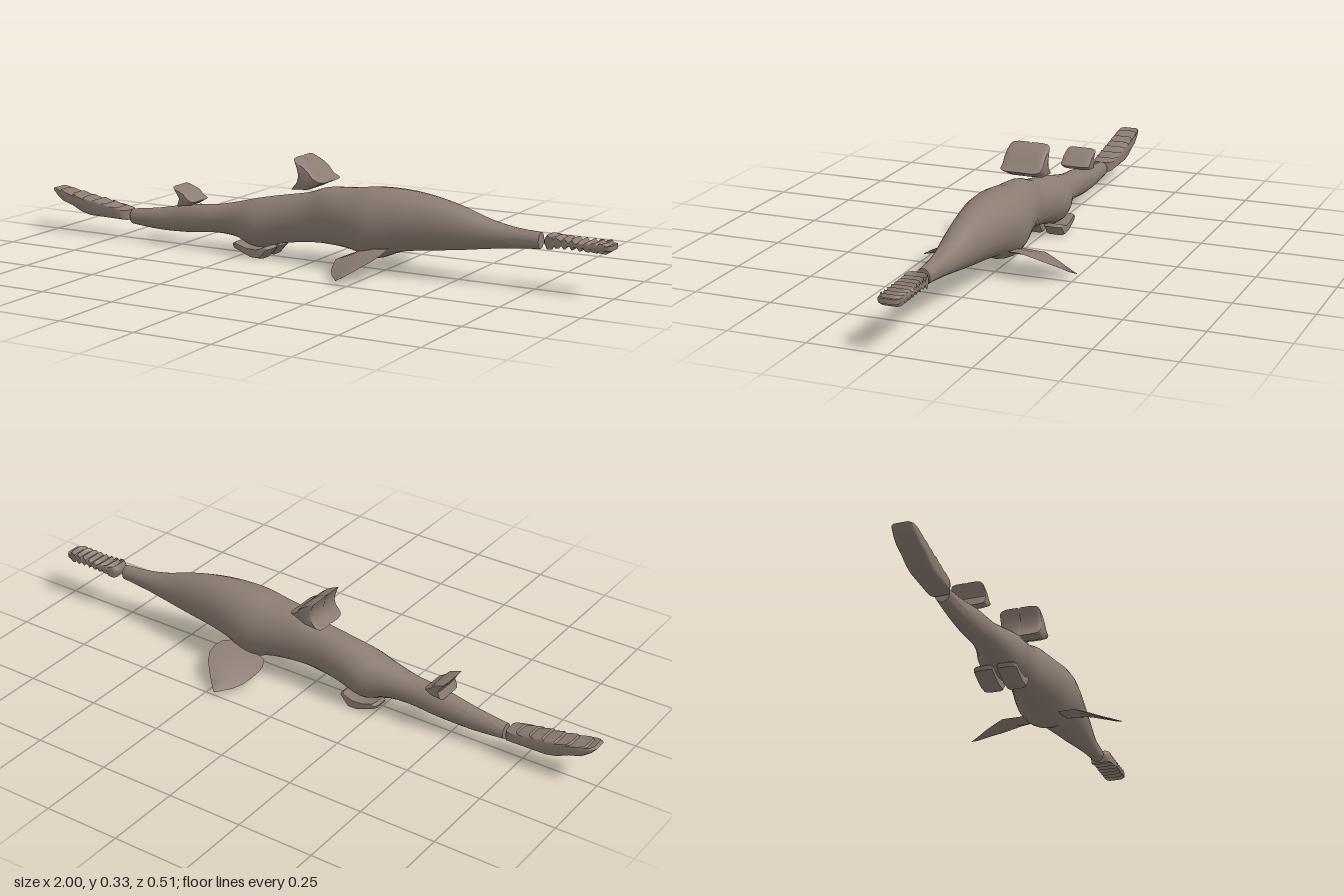
import * as THREE from 'three';
import { toCreasedNormals } from 'three/addons/utils/BufferGeometryUtils.js';

const skin = new THREE.MeshStandardMaterial({ color: 0x8b7c72 });
skin.name = 'grey brown skin';

// Joins rings of points (counter-clockwise seen from the last ring) and closes both ends
function loft(rings, capFaces) {
  const n = rings[0].length, last = (rings.length - 1) * n, index = [];
  for (let k = 0; k < rings.length - 1; k++) {
    for (let i = 0; i < n; i++) {
      const j = (i + 1) % n, a = k * n, b = a + n;
      index.push(a + i, a + j, b + j, a + i, b + j, b + i);
    }
  }
  if (!capFaces) {
    capFaces = [];
    for (let i = 1; i < n - 1; i++) capFaces.push([0, i, i + 1]);
  }
  for (const [a, b, c] of capFaces) index.push(c, b, a, last + a, last + b, last + c);
  const geometry = new THREE.BufferGeometry();
  geometry.setAttribute('position', new THREE.Float32BufferAttribute(rings.flat(2), 3));
  geometry.setIndex(index);
  return toCreasedNormals(geometry, 0.75);
}

// Side profile carried across z, scaled about its middle at each [z, scale] step
function slab(profile, steps) {
  const points = profile.map(([x, y]) => new THREE.Vector2(x, y));
  const mid = new THREE.Box2().setFromPoints(points).getCenter(new THREE.Vector2());
  const rings = steps.map(([z, s]) =>
    points.map((p) => [mid.x + (p.x - mid.x) * s, mid.y + (p.y - mid.y) * s, z]));
  return loft(rings, THREE.ShapeUtils.triangulateShape(points, []));
}

// Rounded edges; a groove below 1 notches the centre line
function acrossSteps(w, groove = 1) {
  const half = [[w * 0.06, 1], [w * 0.6, 1], [w * 0.85, 0.95], [w * 0.96, 0.86], [w, 0.75]];
  return [...half.map(([z, s]) => [-z, s]).reverse(), [0, groove], ...half];
}

// Body sections: x, top, bottom, half width
const bodySections = [
  [-0.69, 0.1, 0.05, 0.023], [-0.58, 0.115, 0.042, 0.03], [-0.46, 0.138, 0.045, 0.038],
  [-0.36, 0.148, 0.055, 0.043], [-0.28, 0.165, 0.05, 0.055], [-0.2, 0.185, 0.025, 0.074],
  [-0.11, 0.203, 0.047, 0.066], [-0.02, 0.22, 0.06, 0.061], [0.05, 0.243, 0.063, 0.07],
  [0.14, 0.25, 0.056, 0.088], [0.22, 0.26, 0.035, 0.1], [0.31, 0.261, 0.066, 0.088],
  [0.4, 0.252, 0.08, 0.072], [0.5, 0.23, 0.092, 0.056], [0.6, 0.198, 0.107, 0.04],
  [0.68, 0.182, 0.117, 0.028], [0.767, 0.175, 0.125, 0.022],
];

function bodyGeometry() {
  const [top, bottom, width] = [1, 2, 3].map((c) =>
    new THREE.SplineCurve(bodySections.map((s) => new THREE.Vector2(s[0], s[c]))));
  const rings = [];
  for (let k = 0; k <= 64; k++) {
    const t = k / 64, { x, y: hi } = top.getPoint(t);
    const lo = bottom.getPoint(t).y, w = width.getPoint(t).y;
    const ring = [];
    for (let i = 0; i < 24; i++) {
      const a = (i / 24) * Math.PI * 2;
      ring.push([x, (hi + lo) / 2 + ((hi - lo) / 2) * Math.cos(a), w * Math.sin(a)]);
    }
    rings.push(ring);
  }
  return loft(rings);
}

// Pectoral fin sections: z, rear x, front x, rear y, front y, half thickness
const finSections = [
  [0.06, 0.16, 0.29, 0.055, 0.084, 0.008], [0.09, 0.145, 0.305, 0.048, 0.09, 0.008],
  [0.12, 0.14, 0.31, 0.046, 0.088, 0.007], [0.15, 0.147, 0.308, 0.035, 0.08, 0.006],
  [0.18, 0.158, 0.293, 0.025, 0.066, 0.005], [0.21, 0.177, 0.265, 0.018, 0.047, 0.004],
  [0.235, 0.198, 0.238, 0.016, 0.028, 0.003], [0.253, 0.213, 0.219, 0.015, 0.018, 0.001],
];

function pectoralGeometry(side) {
  const rings = finSections.map(([z, x0, x1, y0, y1, h]) => {
    const at = (t, up) => [x0 + (x1 - x0) * t, y0 + (y1 - y0) * t + up * h, side * z];
    return [at(0, 0), at(0.3, -0.8), at(0.7, -1), at(1, 0), at(0.7, 1), at(0.3, 0.8)];
  });
  return loft(side > 0 ? rings : rings.reverse());
}

// Toothed snout blade profile
function sawProfile() {
  const lower = [], upper = [], teeth = 8, pitch = 0.215 / teeth;
  for (let i = 0; i < teeth; i++) {
    const x = 0.785 + i * pitch, extra = i === 0 ? 0.006 : 0;
    lower.push([x, 0.149], [x + pitch * 0.35, 0.137 - extra], [x + pitch * 0.6, 0.147]);
    upper.push([x, 0.16], [x + pitch * 0.35, 0.171 + extra / 2], [x + pitch * 0.6, 0.162]);
  }
  return [...lower, [1, 0.148], [1, 0.163], ...upper.reverse()];
}

const tailProfile = [
  [-1, 0.143], [-0.985, 0.125], [-0.96, 0.106], [-0.92, 0.094], [-0.88, 0.075], [-0.84, 0.066],
  [-0.7, 0.064], [-0.7, 0.096], [-0.735, 0.104], [-0.74, 0.1], [-0.78, 0.113], [-0.785, 0.108],
  [-0.825, 0.121], [-0.83, 0.115], [-0.87, 0.127], [-0.875, 0.122], [-0.915, 0.135],
  [-0.92, 0.13], [-0.965, 0.143], [-0.97, 0.139], [-0.99, 0.147],
];
const frontDorsalProfile = [
  [-0.055, 0.232], [0, 0.236], [0.03, 0.25], [0.06, 0.263], [0.035, 0.275], [0.015, 0.3],
  [-0.005, 0.316], [-0.025, 0.326], [-0.045, 0.335], [-0.035, 0.31], [-0.028, 0.28], [-0.035, 0.255],
];
const rearDorsalProfile = [
  [-0.49, 0.133], [-0.45, 0.138], [-0.425, 0.153], [-0.445, 0.165], [-0.46, 0.182],
  [-0.48, 0.19], [-0.505, 0.199], [-0.49, 0.178], [-0.48, 0.16],
];
const pelvicProfile = [
  [-0.27, 0.04], [-0.265, 0.028], [-0.2, 0.002], [-0.16, 0.001], [-0.13, 0.035],
  [-0.14, 0.044], [-0.175, 0.03], [-0.22, 0.033], [-0.26, 0.046],
];

export function createModel() {
  const model = new THREE.Group();
  model.name = 'sawfish';
  const add = (name, geometry) => {
    const mesh = new THREE.Mesh(geometry, skin);
    mesh.name = name;
    model.add(mesh);
  };

  add('body', bodyGeometry());
  add('sawSnout', slab(sawProfile(), acrossSteps(0.034)));
  add('tailFin', slab(tailProfile, acrossSteps(0.036)));
  add('frontDorsalFin', slab(frontDorsalProfile, acrossSteps(0.067, 0.93)));
  add('rearDorsalFin', slab(rearDorsalProfile, acrossSteps(0.05, 0.95)));

  // Paired fins; the front faces +z, so +z and -z are the two flanks
  for (const side of [1, -1]) {
    const flank = side > 0 ? 'Near' : 'Far';
    add('pectoralFin' + flank, pectoralGeometry(side));
    const steps = [[0.008, 0.9], [0.015, 1], [0.05, 1], [0.062, 0.95], [0.067, 0.85]]
      .map(([z, s]) => [side * z, s]);
    add('pelvicFin' + flank, slab(pelvicProfile, side > 0 ? steps : steps.reverse()));
  }
  return model;
}
